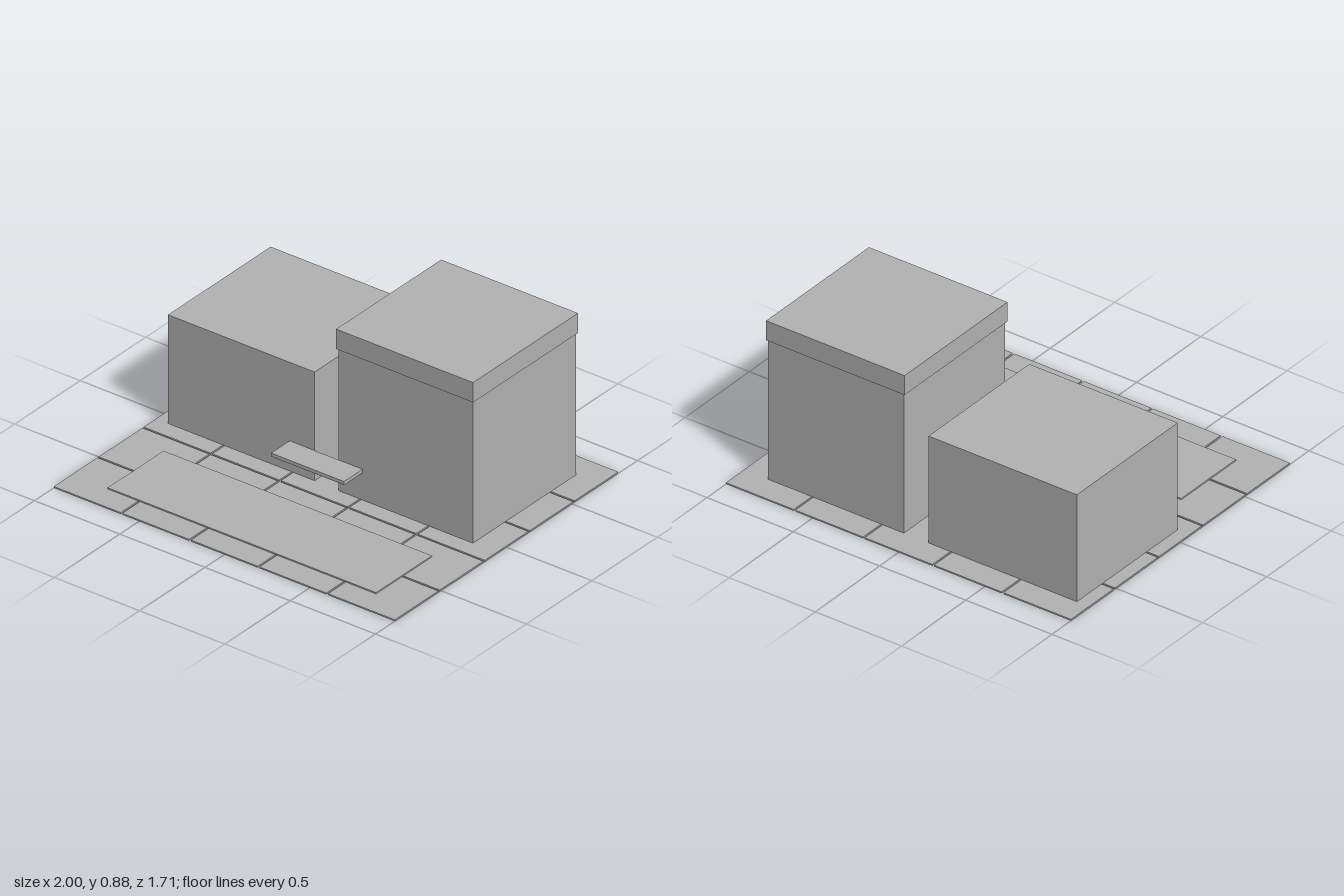
import * as THREE from 'three';

export function createModel() {
  const model = new THREE.Group();
  model.name = 'twoBlockBuilding';
  const grey = new THREE.MeshStandardMaterial({ color: 0xb2b2b2 });
  grey.name = 'grey';

  // Box given by its lower and upper limits on each axis
  function addBox(name, [x0, x1], [y0, y1], [z0, z1], parent = model) {
    const mesh = new THREE.Mesh(new THREE.BoxGeometry(x1 - x0, y1 - y0, z1 - z0), grey);
    mesh.position.set((x0 + x1) / 2, (y0 + y1) / 2, (z0 + z1) / 2);
    mesh.name = name;
    parent.add(mesh);
    return mesh;
  }

  // Paving: 5 x 5 thin tiles separated by open joints
  const paving = new THREE.Group();
  paving.name = 'paving';
  model.add(paving);
  const ground = 0.008, gap = 0.01, pitchX = 0.402, pitchZ = 0.343;
  const halfX = (pitchX - gap) / 2, halfZ = (pitchZ - gap) / 2;
  for (let i = -2; i <= 2; i++) {
    for (let j = -2; j <= 2; j++) {
      const x = i * pitchX, z = j * pitchZ;
      addBox('pavingTile', [x - halfX, x + halfX], [0, ground], [z - halfZ, z + halfZ], paving);
    }
  }

  // Low strip lying on the paving in front of the buildings
  addBox('frontStrip', [-0.787, 0.787], [ground, 0.015], [0.292, 0.718]);

  // Low block
  addBox('lowBlock', [-0.93, -0.07], [ground, 0.595], [-0.712, 0.072]);

  // Tall block with a slightly overhanging parapet
  addBox('tallBlock', [0.073, 0.861], [ground, 0.775], [-0.712, 0.076]);
  addBox('parapet', [0.064, 0.867], [0.773, 0.88], [-0.719, 0.082]);

  // Entrance canopy spanning the passage
  addBox('canopy', [-0.214, 0.214], [0.155, 0.174], [0.076, 0.217]);

  return model;
}
